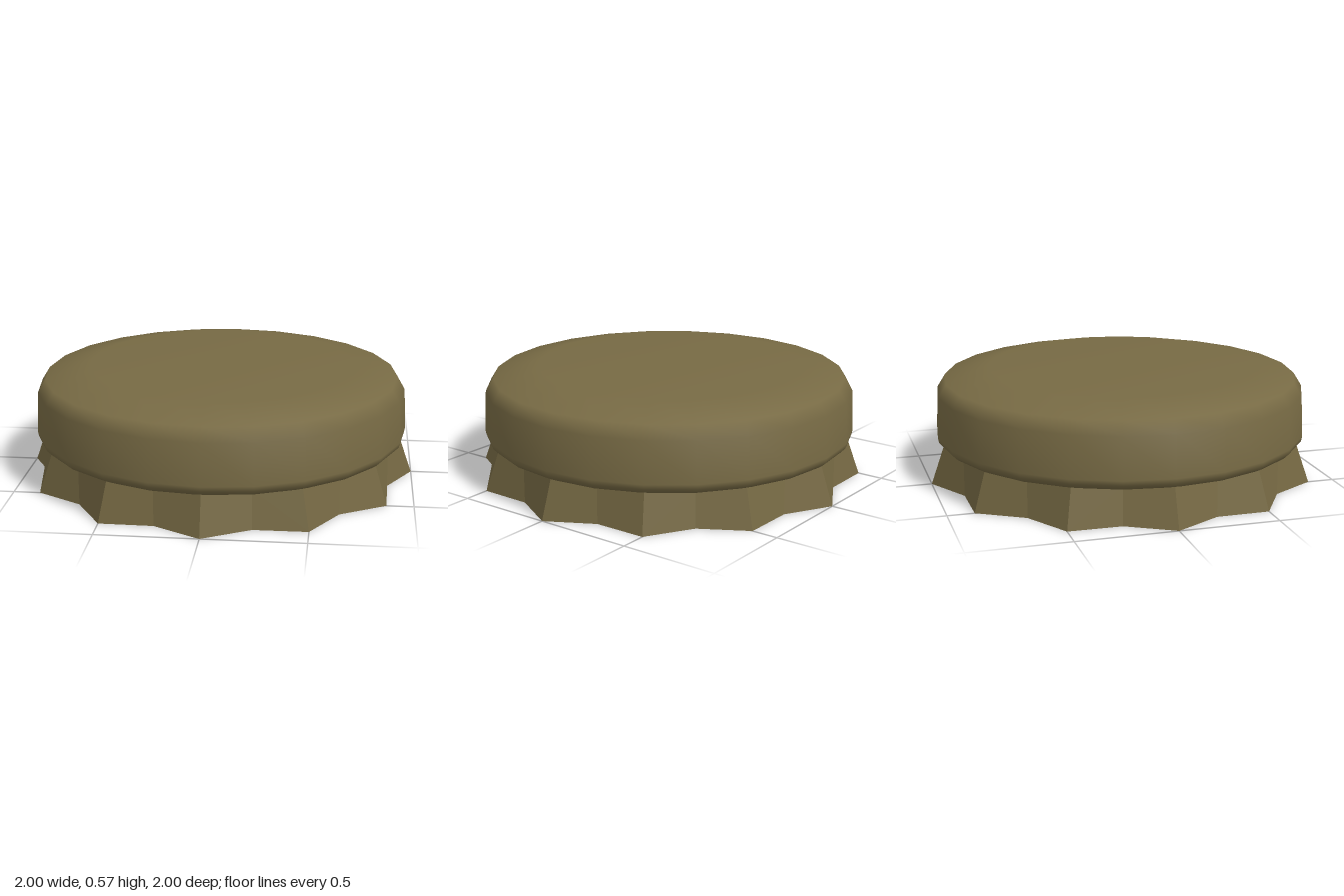
import * as THREE from 'three';

const SIDES = 24;

// Closed ring of points; radius alternates between peak and valley
function ring(peak, valley, y) {
  return Array.from({ length: SIDES }, (_, i) => {
    const a = (i / SIDES) * Math.PI * 2;
    const r = i % 2 ? valley : peak;
    return new THREE.Vector3(r * Math.sin(a), y, r * Math.cos(a));
  });
}

// Band of evenly shaded panels between two rings; faces outward when the second ring is higher
function band(low, high) {
  const pos = [], nor = [];
  for (let i = 0; i < SIDES; i++) {
    const j = (i + 1) % SIDES;
    const a = low[i], b = low[j], c = high[j], d = high[i];
    const n = c.clone().sub(a).cross(d.clone().sub(b)).normalize();
    // run the diagonal the same way on both sides of each peak
    const corners = i % 2 ? [a, b, d, b, c, d] : [a, b, c, a, c, d];
    for (const p of corners) {
      pos.push(p.x, p.y, p.z);
      nor.push(n.x, n.y, n.z);
    }
  }
  const geo = new THREE.BufferGeometry();
  geo.setAttribute('position', new THREE.Float32BufferAttribute(pos, 3));
  geo.setAttribute('normal', new THREE.Float32BufferAttribute(nor, 3));
  return geo;
}

function lathe(points) {
  return new THREE.LatheGeometry(points.map(([r, y]) => new THREE.Vector2(r, y)), SIDES);
}

export function createModel() {
  const model = new THREE.Group();
  model.name = 'bottleCap';

  const bronze = new THREE.MeshStandardMaterial({ color: 0x776a44 });
  bronze.name = 'bronze';
  const liner = new THREE.MeshStandardMaterial({ color: 0x989690 });
  liner.name = 'greyLiner';

  const add = (name, geometry, material) => {
    const mesh = new THREE.Mesh(geometry, material);
    mesh.name = name;
    model.add(mesh);
  };

  // Smooth outer crown with a slightly domed top
  add('crown', lathe([
    [0.86, 0.19], [0.93, 0.19], [0.955, 0.215], [0.96, 0.24],
    [0.95, 0.45], [0.91, 0.515], [0.68, 0.567], [0, 0.567],
  ]), bronze);

  // Crimped skirt flaring to twelve points
  const outerLow = ring(1, 0.9, 0);
  const innerLow = ring(0.95, 0.865, 0);
  add('skirt', band(outerLow, ring(0.93, 0.9, 0.2)), bronze);
  add('skirtRim', band(innerLow, outerLow), bronze);

  // Grey inside: crimped skirt lining, then smooth wall and ceiling
  add('skirtLining', band(ring(0.885, 0.865, 0.2), innerLow), liner);
  add('innerLining', lathe([
    [0, 0.46], [0.66, 0.46], [0.84, 0.425], [0.885, 0.365], [0.89, 0.24], [0.885, 0.195],
  ]), liner);

  return model;
}
